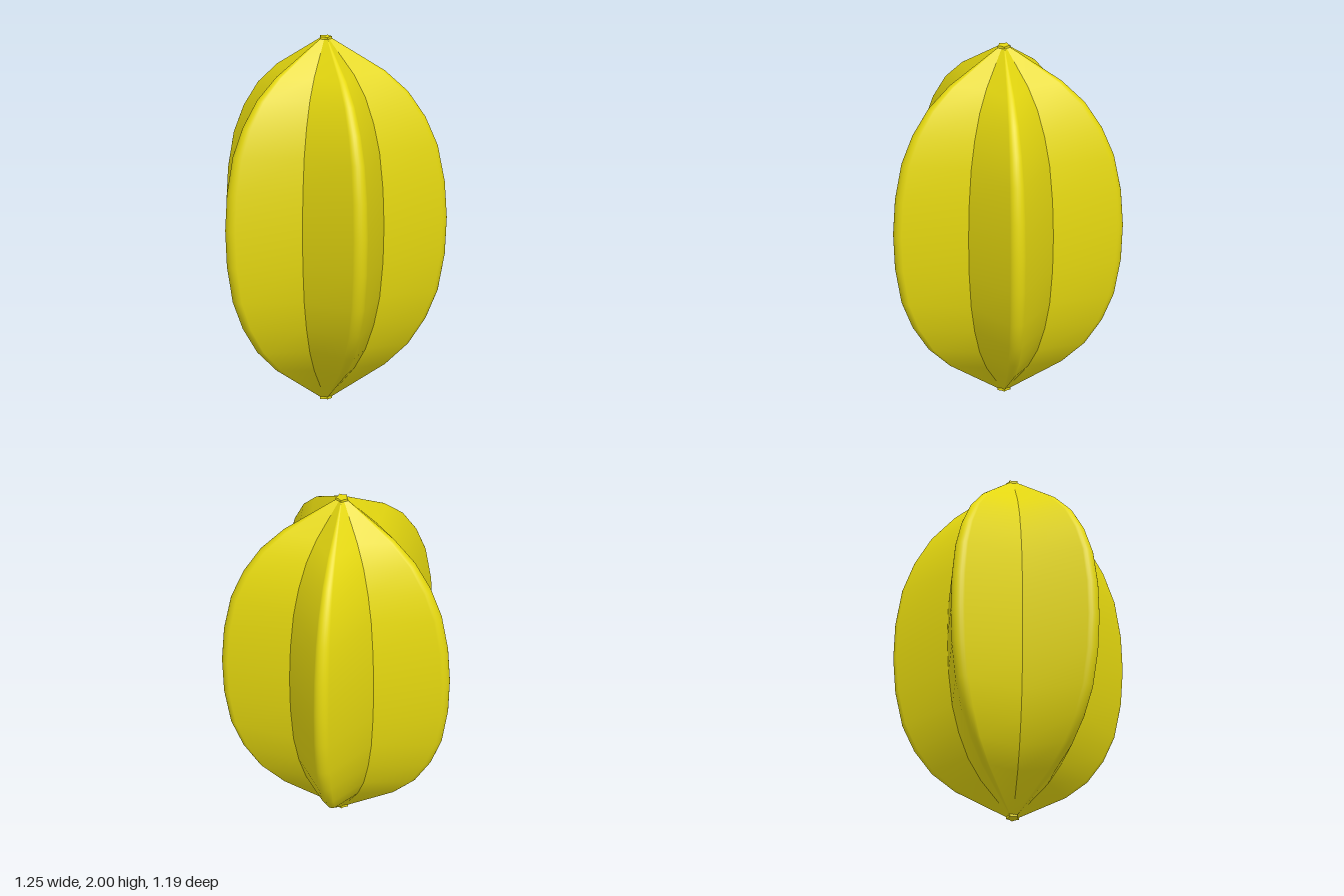
import * as THREE from 'three';

const TIP = 0.655, VALLEY = 0.393, ROUND = 0.05, CENTRE_Z = 0.055;

// One rounded star point, from valley to valley, pointing along +v and turned by `turn`
function starPoint(turn, valley = VALLEY, arcSteps = 8) {
  const a = Math.PI / 5, c = TIP - ROUND;
  const v = new THREE.Vector2(valley * Math.sin(a), valley * Math.cos(a));
  const toCentre = new THREE.Vector2(-v.x, c - v.y);
  const start = toCentre.angle() - Math.asin(ROUND / toCentre.length()) - Math.PI / 2;
  const pts = [v];
  for (let i = 0; i <= arcSteps; i++) {
    const t = start + (Math.PI - 2 * start) * i / arcSteps;
    pts.push(new THREE.Vector2(ROUND * Math.cos(t), c + ROUND * Math.sin(t)));
  }
  pts.push(new THREE.Vector2(-v.x, v.y));
  return pts.map(p => p.rotateAround(new THREE.Vector2(), turn));
}

// Upper half of the height profile: [scale of the star, height]; mirrored below
const upper = [[1, 1], [0.983, 1.2], [0.925, 1.4], [0.825, 1.555], [0.682, 1.695], [0.49, 1.81], [0.055, 1.988]];
const profile = [...upper.slice(1).reverse().map(([s, y]) => [s, 2 - y]), ...upper];

// Loft a rib through the profile; smooth inside, creased at its valleys
function ribGeometry(turn) {
  const section = starPoint(turn), n = section.length;
  const pos = [], index = [];
  profile.forEach(([s, y], j) => section.forEach((p, i) => {
    pos.push(p.x * s, y, -p.y * s);
    if (j && i) {
      const d = j * n + i, c = d - 1, b = d - n, a = b - 1;
      index.push(a, b, d, a, d, c);
    }
  }));
  const g = new THREE.BufferGeometry();
  g.setAttribute('position', new THREE.Float32BufferAttribute(pos, 3));
  g.setIndex(index);
  g.computeVertexNormals();
  return g;
}

export function createModel() {
  const group = new THREE.Group();
  group.name = 'starFruit';
  const skin = new THREE.MeshStandardMaterial({ color: 0xe6d90f });
  const turns = [0, 1, 2, 3, 4].map(k => k * Math.PI * 2 / 5);

  // Five ribs around the axis
  turns.forEach((turn, k) => {
    const rib = new THREE.Mesh(ribGeometry(turn), skin);
    rib.name = `rib${k + 1}`;
    rib.position.z = CENTRE_Z;
    group.add(rib);
  });

  // Small star-shaped stubs closing both ends
  const outline = turns.flatMap(t => starPoint(t, 0.46).slice(0, -1))
    .map(p => p.multiplyScalar(0.055));
  const stubGeometry = new THREE.ExtrudeGeometry(new THREE.Shape(outline), { depth: 0.014, bevelEnabled: false });
  stubGeometry.rotateX(-Math.PI / 2);
  [['bottomStub', 0], ['topStub', 1.986]].forEach(([name, y]) => {
    const stub = new THREE.Mesh(stubGeometry, skin);
    stub.name = name;
    stub.position.set(0, y, CENTRE_Z);
    group.add(stub);
  });
  return group;
}
